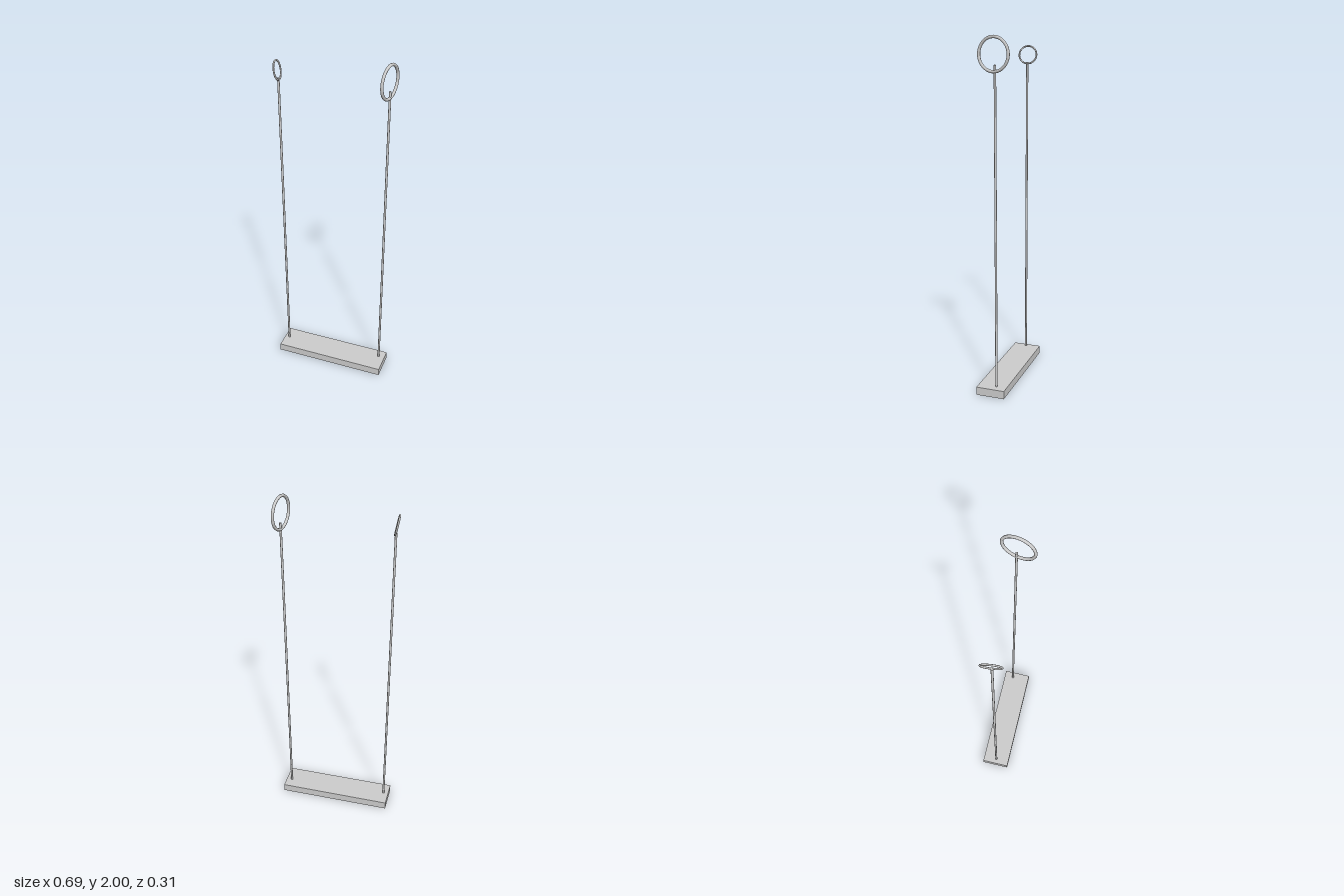
import * as THREE from 'three';

export function createModel() {
  const model = new THREE.Group();
  const material = new THREE.MeshStandardMaterial({ color: 0xcccccc });

  function add(name, geometry, x, y, z) {
    const mesh = new THREE.Mesh(geometry, material);
    mesh.name = name;
    mesh.position.set(x, y, z);
    model.add(mesh);
    return mesh;
  }

  // Flat plank seat, twisted a little about the vertical
  add('seat', new THREE.BoxGeometry(0.673, 0.047, 0.167), 0, 0.0235, 0.012).rotation.y = THREE.MathUtils.degToRad(10);

  // Two straight ropes
  const bottom = 0.053, top = 1.85;
  for (const [name, x, z] of [['rightRope', -0.302, 0.066], ['leftRope', 0.291, -0.066]]) {
    add(name, new THREE.CylinderGeometry(0.0065, 0.0065, top - bottom, 12), x, (top + bottom) / 2, z);
  }

  // Hanging rings: a large upright one and a small tilted one
  function addRing(name, outer, tube, centre, normal) {
    const ring = add(name, new THREE.TorusGeometry(outer - tube, tube, 8, 40), ...centre);
    ring.quaternion.setFromUnitVectors(new THREE.Vector3(0, 0, 1), new THREE.Vector3(...normal).normalize());
  }
  addRing('leftRing', 0.097, 0.0085, [0.2915, 1.903, -0.057], [1, 0, 0]);
  addRing('rightRing', 0.0565, 0.005, [-0.308, 1.892, 0.065], [1, 0.21, -0.3]);

  return model;
}
